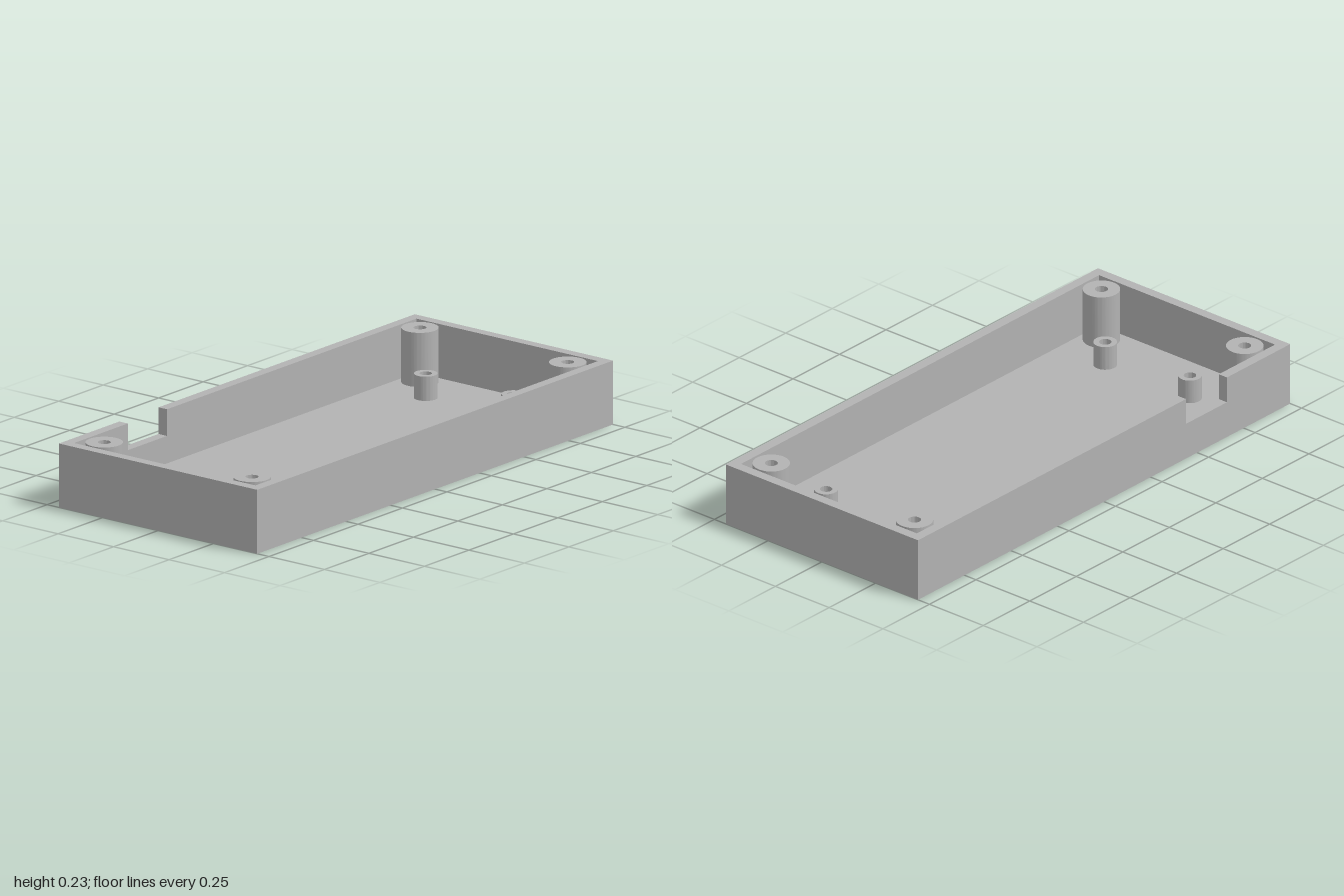
import * as THREE from 'three';
import { toCreasedNormals } from 'three/addons/utils/BufferGeometryUtils.js';

const W = 0.447, L = 1, H = 0.235;      // half width, half length, height
const IW = 0.409, IL = 0.962;           // inside of the walls
const FLOOR = 0.036, SILL = 0.137;      // floor top, bottom of the cable notch
const NOTCH = [0.44, 0.66];             // notch extent along z
const SCREW = { x: 0.333, z: 0.887, r: 0.066, hole: 0.023 };
const STANDOFF = { x: 0.197, z: 0.75, r: 0.042, hole: 0.022, top: 0.125 };

// Plan outline from [x, z] pairs; z is flipped because the plan is laid flat
const plan = (pts) => new THREE.Shape(pts.map(([x, z]) => new THREE.Vector2(x, -z)));
const rect = (w, l) => [[-w, l], [w, l], [w, -l], [-w, -l]];
const circle = (Type, x, z, r) => new Type().absarc(x, -z, r, 0, Math.PI * 2);

// Raises a plan outline from y0 to y1
function raise(shape, y0, y1) {
  const geo = new THREE.ExtrudeGeometry(shape, { depth: y1 - y0, bevelEnabled: false, curveSegments: 40 });
  geo.rotateX(-Math.PI / 2);
  geo.translate(0, y0, 0);
  return toCreasedNormals(geo, 0.6);
}

const corners = (x, z) => [[x, z], [-x, z], [x, -z], [-x, -z]];

export function createModel() {
  const model = new THREE.Group();
  model.name = 'enclosureBase';
  const grey = new THREE.MeshStandardMaterial({ color: 0xb2b2b2 });
  grey.name = 'grey plastic';

  const add = (name, geo) => {
    const mesh = new THREE.Mesh(geo, grey);
    mesh.name = name;
    model.add(mesh);
  };

  // Floor with four screw holes
  const floor = plan(rect(W, L));
  for (const [x, z] of corners(SCREW.x, SCREW.z)) floor.holes.push(circle(THREE.Path, x, z, SCREW.hole));
  add('floor', raise(floor, 0, FLOOR));

  // Closed wall ring up to the notch sill
  const ring = plan(rect(W, L));
  ring.holes.push(plan(rect(IW, IL)));
  add('lowerWall', raise(ring, FLOOR, SILL));

  // Upper wall, open at the notch on the model's right side
  const [n0, n1] = NOTCH;
  add('upperWall', raise(plan([
    [-W, n1], [-W, L], [W, L], [W, -L], [-W, -L], [-W, n0],
    [-IW, n0], [-IW, -IL], [IW, -IL], [IW, IL], [-IW, IL], [-IW, n1],
  ]), SILL, H));

  // Hollow posts: tall screw posts in the corners, short board standoffs inside them
  const posts = (name, spec, top) => {
    for (const [x, z] of corners(spec.x, spec.z)) {
      const shape = circle(THREE.Shape, x, z, spec.r);
      shape.holes.push(circle(THREE.Path, x, z, spec.hole));
      add(name, raise(shape, FLOOR, top));
    }
  };
  posts('screwPost', SCREW, H);
  posts('boardStandoff', STANDOFF, STANDOFF.top);

  return model;
}
